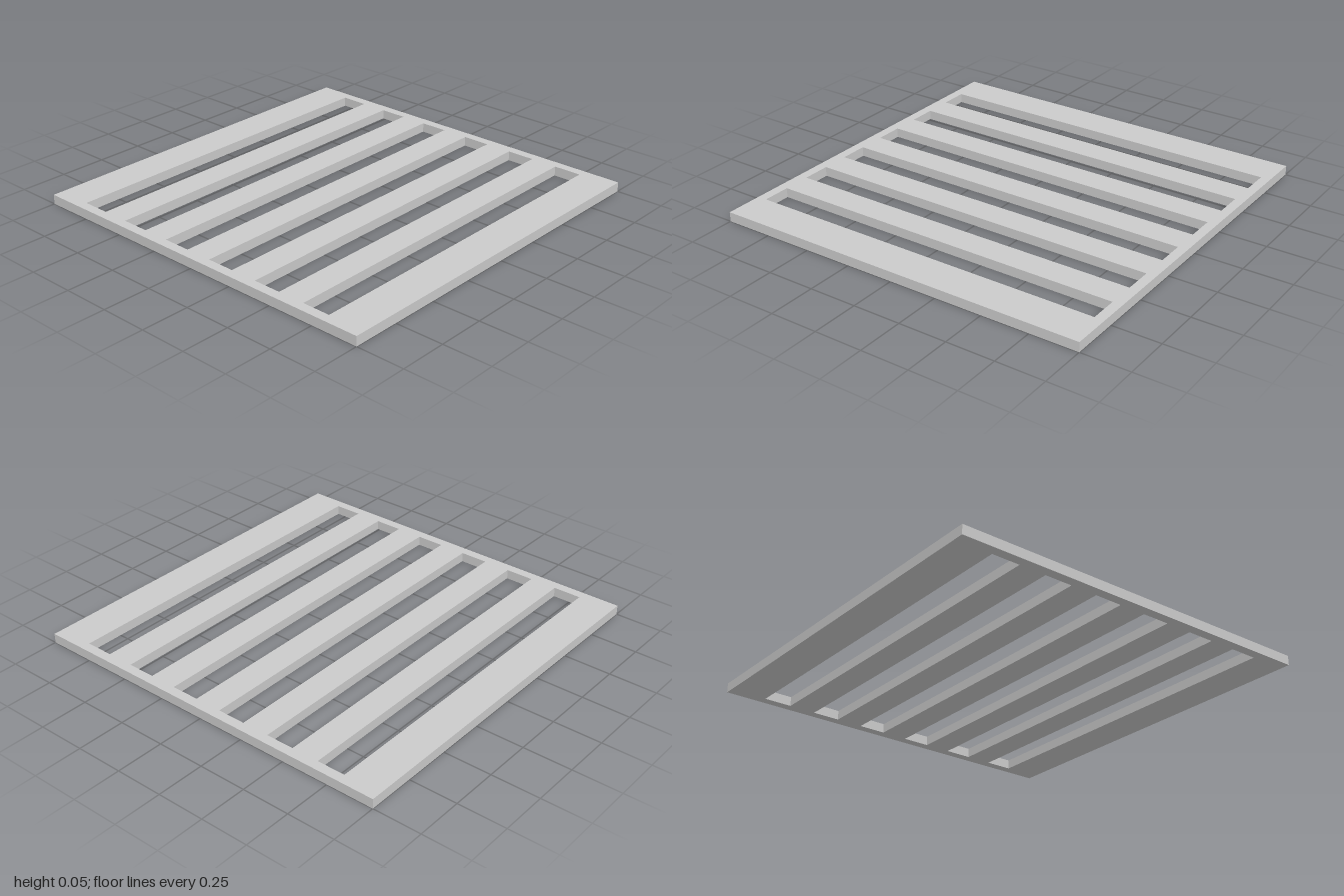
import * as THREE from 'three';

const THICKNESS = 0.05;
const SLOTS = 6, PITCH = 0.292, SLOT_DEPTH = 0.148, SLOT_HALF_WIDTH = 0.95;
const SLOT_OFFSET = 0.002; // the row of slots sits a hair towards the back

// Corner points of a rectangle centred on x = 0
function rectangle(halfWidth, y0, y1) {
  return [[-halfWidth, y0], [halfWidth, y0], [halfWidth, y1], [-halfWidth, y1]]
    .map(([x, y]) => new THREE.Vector2(x, y));
}

export function createModel() {
  const group = new THREE.Group();
  group.name = 'slottedPanel';

  // Square plate outline with evenly spaced slots
  const outline = new THREE.Shape(rectangle(1, -1, 1));
  for (let i = 0; i < SLOTS; i++) {
    const y = (i - (SLOTS - 1) / 2) * PITCH + SLOT_OFFSET;
    outline.holes.push(new THREE.Path(
      rectangle(SLOT_HALF_WIDTH, y - SLOT_DEPTH / 2, y + SLOT_DEPTH / 2)));
  }

  // Extrude and lay flat on the ground
  const geometry = new THREE.ExtrudeGeometry(outline, { depth: THICKNESS, bevelEnabled: false });
  geometry.rotateX(-Math.PI / 2);

  const panel = new THREE.Mesh(geometry, new THREE.MeshStandardMaterial({ color: 0xcccccc }));
  panel.name = 'slattedPlate';
  group.add(panel);
  return group;
}
